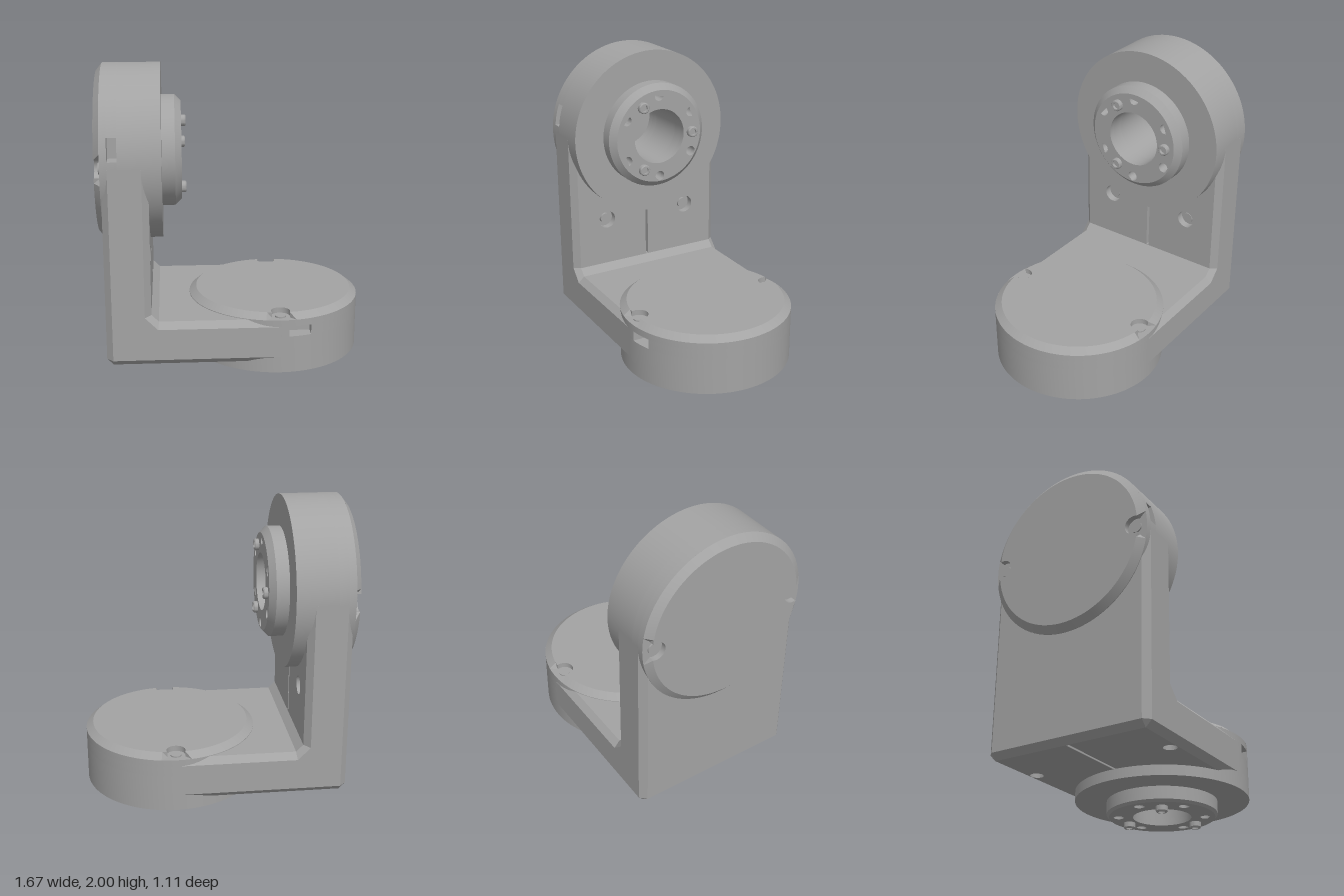
import * as THREE from 'three';
import { toCreasedNormals } from 'three/addons/utils/BufferGeometryUtils.js';

const grey = new THREE.MeshStandardMaterial({ color: 0xa3a3a3 });
grey.name = 'machined grey';

const R = 0.555, BORE = 0.185, CAP = 0.036, CAP_R = 0.51;
const TAU = Math.PI * 2;

function add(parent, name, geometry) {
  const mesh = new THREE.Mesh(geometry, grey);
  mesh.name = name;
  parent.add(mesh);
  return mesh;
}

function circle(r, cx = 0, cy = 0, n = 96) {
  const pts = [];
  for (let i = 0; i < n; i++) {
    const a = (i / n) * TAU;
    pts.push(new THREE.Vector2(cx + r * Math.cos(a), cy + r * Math.sin(a)));
  }
  return pts;
}

const rect = (x0, y0, x1, y1) =>
  [[x0, y0], [x1, y0], [x1, y1], [x0, y1]].map(p => new THREE.Vector2(...p));

function holed(points, holes) {
  const shape = new THREE.Shape(points);
  for (const h of holes) shape.holes.push(new THREE.Path(h));
  return shape;
}

// Upright slab from y0 to y0 + h; scale(x, z, t) widens or narrows it along its height
function slab(points, holes, y0, h, scale) {
  const g = new THREE.ExtrudeGeometry(holed(points, holes), { depth: h, bevelEnabled: false, curveSegments: 24 });
  g.rotateX(-Math.PI / 2);
  const p = g.attributes.position;
  for (let i = 0; i < p.count && scale; i++) {
    const s = scale(p.getX(i), p.getZ(i), p.getY(i) / h);
    p.setX(i, p.getX(i) * s);
    p.setZ(i, p.getZ(i) * s);
  }
  g.translate(0, y0, 0);
  return toCreasedNormals(g, 0.45);
}

// Disc outline with a pocket cut into the front rim
function slottedOutline() {
  const rim = x => -Math.sqrt(R * R - x * x);
  const pts = circle(R).filter(p => !(p.y < 0 && p.x > 0.045 && p.x < 0.195));
  const at = pts.findIndex(p => p.y < 0 && p.x >= 0.195);
  const cut = [[0.05, rim(0.05)], [0.05, -0.45], [0.19, -0.45], [0.19, rim(0.19)]];
  pts.splice(at, 0, ...cut.map(c => new THREE.Vector2(...c)));
  return pts;
}

// Cap outline with two round screw bites at opposite edges
function bittenOutline() {
  const pts = [], c = 0.485, r = 0.06, phi = 0.1097, open = 1.197;
  for (const mid of [Math.PI / 2, Math.PI * 1.5]) {
    for (let i = 0; i <= 16; i++) {
      const b = mid - open - (i / 16) * (TAU - 2 * open);
      pts.push(new THREE.Vector2(c * Math.cos(mid) + r * Math.cos(b), c * Math.sin(mid) + r * Math.sin(b)));
    }
    for (let i = 1; i < 48; i++) {
      const a = mid + phi + (i / 48) * (Math.PI - 2 * phi);
      pts.push(new THREE.Vector2(CAP_R * Math.cos(a), CAP_R * Math.sin(a)));
    }
  }
  return pts;
}

// Rotary joint: cap on top, hub and bolts hanging below y = 0
function joint(name, { height, slot, hub, chamfer, chamferIn, bolt }) {
  const g = new THREE.Group();
  g.name = name;
  const bore = [circle(BORE, 0, 0, 64)], [s0, s1] = slot;
  add(g, 'housingBase', slab(circle(R), bore, 0, s0));
  add(g, 'housingSlotRing', slab(slottedOutline(), bore, s0, s1 - s0));
  add(g, 'housingTop', slab(circle(R), bore, s1, height - CAP - s1));
  add(g, 'cap', slab(bittenOutline(), [], height - CAP, CAP,
    (x, z, t) => (t < 0.5 && Math.hypot(x, z) > 0.509 && Math.abs(x) > 0.057 ? R / CAP_R : 1)));

  // Flange with bore, six holes and a chamfered lip
  const holes = [...bore];
  for (let i = 0; i < 6; i++) {
    const a = (i * TAU) / 6;
    holes.push(circle(0.033, 0.275 * Math.cos(a), 0.275 * Math.sin(a), 20));
  }
  const hr = 0.353;
  add(g, 'hub', slab(circle(hr), holes, chamfer - hub, hub - chamfer));
  add(g, 'hubLip', slab(circle(hr), holes, -hub, chamfer,
    (x, z, t) => (t < 0.5 && Math.hypot(x, z) > hr - 0.001 ? (hr - chamferIn) / hr : 1)));

  // Three socket-head bolts
  const profile = [[0, 0.4], [0.022, 0.4], [0.022, 1], [0.031, 1], [0.037, 0.8], [0.037, -0.2]]
    .map(([r, t]) => new THREE.Vector2(r, -hub - bolt * t)).reverse();
  for (let i = 0; i < 3; i++) {
    const a = -Math.PI / 2 + (i * TAU) / 3;
    const b = add(g, 'bolt', toCreasedNormals(new THREE.LatheGeometry(profile.slice().reverse(), 24), 0.5));
    b.geometry.scale(1, 1, 1);
    b.material = boltGrey;
    b.position.set(0.245 * Math.cos(a), 0, 0.245 * Math.sin(a));
  }
  // Cap screws at the bottom of the bites
  for (const s of [-1, 1]) {
    const screw = add(g, 'capScrew', new THREE.CylinderGeometry(0.035, 0.035, 0.01, 24));
    screw.position.set(0, height - CAP + 0.004, s * 0.485);
  }
  return g;
}

const boltGrey = grey.clone();
boltGrey.name = 'bolt grey';
boltGrey.side = THREE.DoubleSide;

// Skin a row of convex rings; skip(segment, side) leaves a face open
function loft(rings, skip = () => false) {
  const out = [], n = rings[0].length;
  const tri = (...v) => v.forEach(p => out.push(...p));
  for (let s = 0; s < rings.length - 1; s++) {
    for (let j = 0; j < n; j++) {
      if (skip(s, j)) continue;
      const k = (j + 1) % n, A = rings[s], B = rings[s + 1];
      tri(A[j], B[j], B[k]);
      tri(A[j], B[k], A[k]);
    }
  }
  const end = rings[rings.length - 1];
  for (let i = 1; i < n - 1; i++) {
    tri(rings[0][0], rings[0][i], rings[0][i + 1]);
    tri(end[0], end[i + 1], end[i]);
  }
  const g = new THREE.BufferGeometry();
  g.setAttribute('position', new THREE.Float32BufferAttribute(out, 3));
  g.computeVertexNormals();
  return g;
}

function bracket() {
  const g = new THREE.Group();
  g.name = 'bracket';
  // Cross-section as [z, depth from the outer face]
  const half = [[0.515, 0], [0.555, 0.04], [0.555, 0.24], [0.515, 0.28]];
  const mirror = list => list.map(([z, d]) => [-z, d]).reverse();
  const section = [[-0.515, 0], ...half, ...mirror(half).slice(0, 3)];
  const upright = (sec, y) => sec.map(([z, d]) => [-0.8 + d, typeof y === 'function' ? y(d) : y, z]);
  const level = (sec, x) => sec.map(([z, d]) => [typeof x === 'function' ? x(d) : x, 0.2 + d, z]);
  const k = d => (d < 0.1 ? 0.04 : d < 0.26 ? 0.32 : 0.325);

  add(g, 'elbowArm', loft(
    [upright(section, 1.25), upright(section, d => 0.2 + k(d)), level(section, d => -0.8 + k(d)), level(section, 0.08)],
    (s, j) => (s === 0 && j === 4) || (s === 2 && j === 0)));

  // Side rails reaching round each bore
  const rail = [[0.2, 0], ...half, [0.2, 0.28]];
  for (const sec of [rail, mirror(rail)]) {
    add(g, 'uprightRail', loft([upright(sec, 1.45), upright(sec, 1.25)]));
    add(g, 'levelRail', loft([level(sec, 0.08), level(sec, 0.28)]));
  }

  // Face panels with screw holes and a centre groove, backed by a floor
  const opts = { depth: 0.05, bevelEnabled: false };
  const inner = new THREE.ExtrudeGeometry(holed(rect(-0.515, 0.525, 0.515, 1.25),
    [circle(0.06, -0.305, 0.845, 28), circle(0.06, 0.305, 0.845, 28), rect(-0.009, 0.53, 0.009, 0.885)]), opts);
  inner.rotateY(Math.PI / 2).translate(-0.57, 0, 0);
  add(g, 'innerPanel', toCreasedNormals(inner, 0.5));
  add(g, 'innerPanelFloor', new THREE.BoxGeometry(0.01, 0.72, 1.03)).position.set(-0.575, 0.888, 0);

  const base = new THREE.ExtrudeGeometry(holed(rect(-0.76, -0.515, 0.08, 0.515),
    [circle(0.042, -0.42, -0.47, 28), circle(0.042, -0.42, 0.47, 28), rect(-0.755, -0.009, -0.2, 0.009)]), opts);
  base.rotateX(Math.PI / 2).translate(0, 0.25, 0);
  add(g, 'basePanel', toCreasedNormals(base, 0.5));
  add(g, 'basePanelFloor', new THREE.BoxGeometry(0.84, 0.01, 1.03)).position.set(-0.34, 0.255, 0);

  for (const s of [-1, 1]) {
    const screw = add(g, 'panelScrew', new THREE.CylinderGeometry(0.035, 0.035, 0.03, 24));
    screw.rotation.z = Math.PI / 2;
    screw.position.set(-0.56, 0.845, s * 0.305);
  }
  return g;
}

export function createModel() {
  const model = new THREE.Group();
  model.name = 'elbowJoint';
  model.add(bracket());

  const lower = joint('lowerJoint',
    { height: 0.385, slot: [0.24, 0.305], hub: 0.097, chamfer: 0.016, chamferIn: 0.016, bolt: 0.038 });
  lower.position.set(0.28, 0.135, 0);
  model.add(lower);

  const upper = joint('upperJoint',
    { height: 0.4, slot: [0.26, 0.32], hub: 0.122, chamfer: 0.04, chamferIn: 0.04, bolt: 0.029 });
  upper.rotation.z = Math.PI / 2;
  upper.position.set(-0.44, 1.447, 0);
  model.add(upper);
  return model;
}
